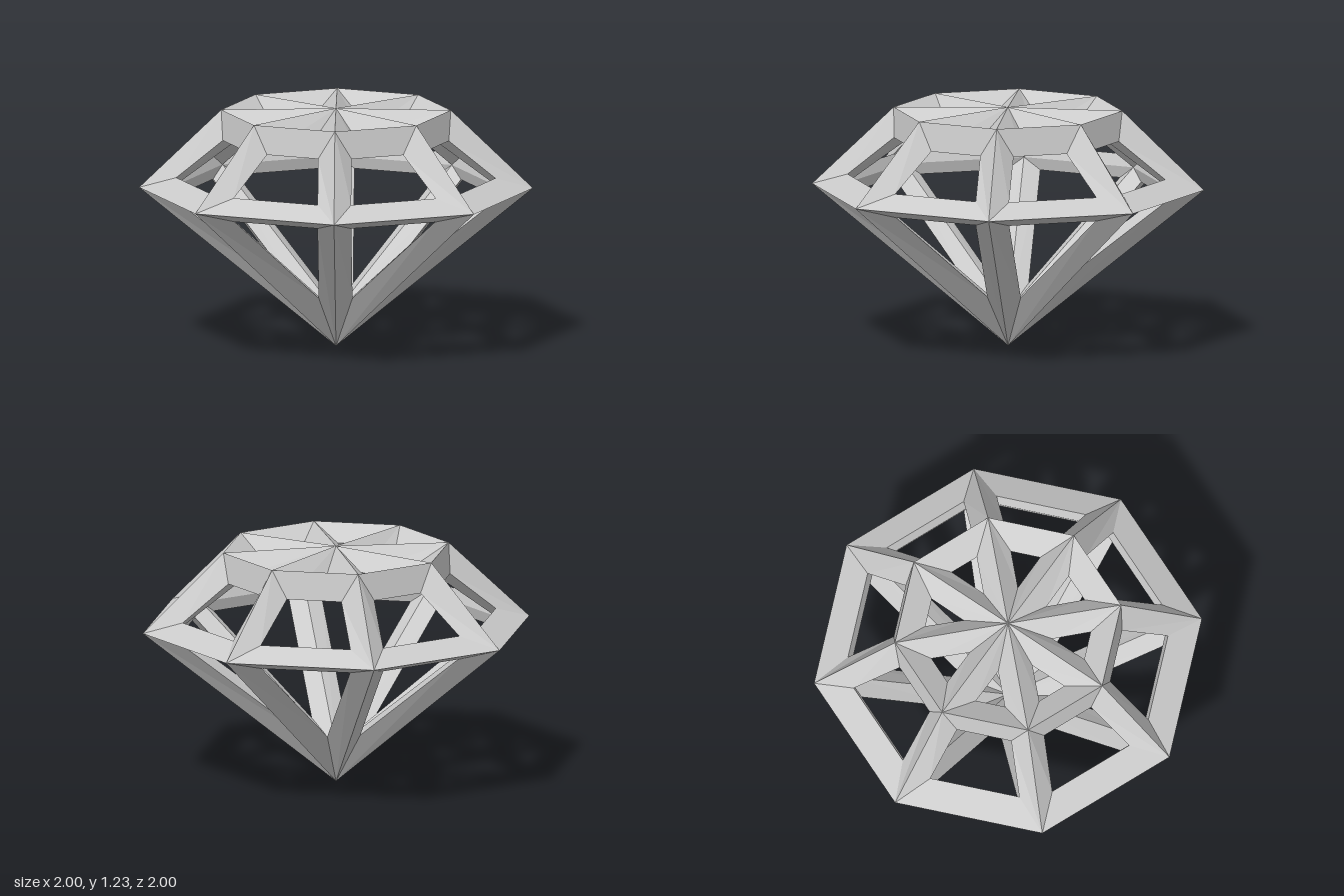
import * as THREE from 'three';

const SIDES = 8;
const HALF = 0.0885; // half the strut width and half the strut depth

export function createModel() {
  const group = new THREE.Group();
  group.name = 'openFrameGem';
  const material = new THREE.MeshStandardMaterial({ color: 0xcccccc, flatShading: true });

  // Cage corners: two points and two rings
  const corner = (level, r, y, k = 0) => {
    const a = (k % SIDES) * Math.PI * 2 / SIDES;
    return { level, p: new THREE.Vector3(r * Math.sin(a), y, r * Math.cos(a)), n: new THREE.Vector3() };
  };
  const ring = (level, r, y) => Array.from({ length: SIDES }, (_, k) => corner(level, r, y, k));
  const top = corner('top', 0, 1.229);
  const tip = corner('tip', 0, 0);
  const table = ring('table', 0.583, 1.22);
  const girdle = ring('girdle', 1, 0.818);

  // Facets, counter-clockwise seen from outside
  const facets = [];
  for (let k = 0; k < SIDES; k++) {
    const j = (k + 1) % SIDES;
    facets.push([top, table[k], table[j]]);
    facets.push([table[k], girdle[k], girdle[j], table[j]]);
    facets.push([girdle[k], tip, girdle[j]]);
  }

  // Directions from a facet corner to its two neighbours
  const arms = (facet, i) => {
    const m = facet.length;
    const toward = (q) => q.p.clone().sub(facet[i].p).normalize();
    return [toward(facet[(i + 1) % m]), toward(facet[(i + m - 1) % m])];
  };

  // Corner normals, weighted by facet angle
  for (const facet of facets) {
    facet.forEach((v, i) => {
      const [next, prev] = arms(facet, i);
      v.n.addScaledVector(next.clone().cross(prev).normalize(), next.angleTo(prev));
    });
  }
  for (const v of [top, tip, ...table, ...girdle]) {
    v.n.normalize();
    v.inner = v.p.clone().addScaledVector(v.n, -2 * HALF);
  }

  // Each edge of a facet gives the outer and inner side of half a strut
  const parts = {
    'top-table': 'tableSpokes',
    'table-table': 'tableRim',
    'girdle-table': 'crownRibs',
    'girdle-girdle': 'girdleRing',
    'girdle-tip': 'pavilionRibs',
  };
  const points = {};
  for (const facet of facets) {
    const inset = facet.map((v, i) => {
      const [next, prev] = arms(facet, i);
      const reach = HALF / Math.sin(next.angleTo(prev) / 2);
      return v.p.clone()
        .addScaledVector(next.add(prev).normalize(), reach)
        .addScaledVector(v.n, -HALF);
    });
    facet.forEach((a, i) => {
      const j = (i + 1) % facet.length;
      const b = facet[j];
      const name = parts[`${a.level}-${b.level}`] || parts[`${b.level}-${a.level}`];
      const list = (points[name] ||= []);
      const quad = (p, q, r, s) => list.push(p, q, r, p, r, s);
      quad(a.p, b.p, inset[j], inset[i]);
      quad(a.inner, inset[i], inset[j], b.inner);
    });
  }

  for (const [name, list] of Object.entries(points)) {
    const geometry = new THREE.BufferGeometry().setFromPoints(list);
    geometry.computeVertexNormals();
    const mesh = new THREE.Mesh(geometry, material);
    mesh.name = name;
    group.add(mesh);
  }
  return group;
}
